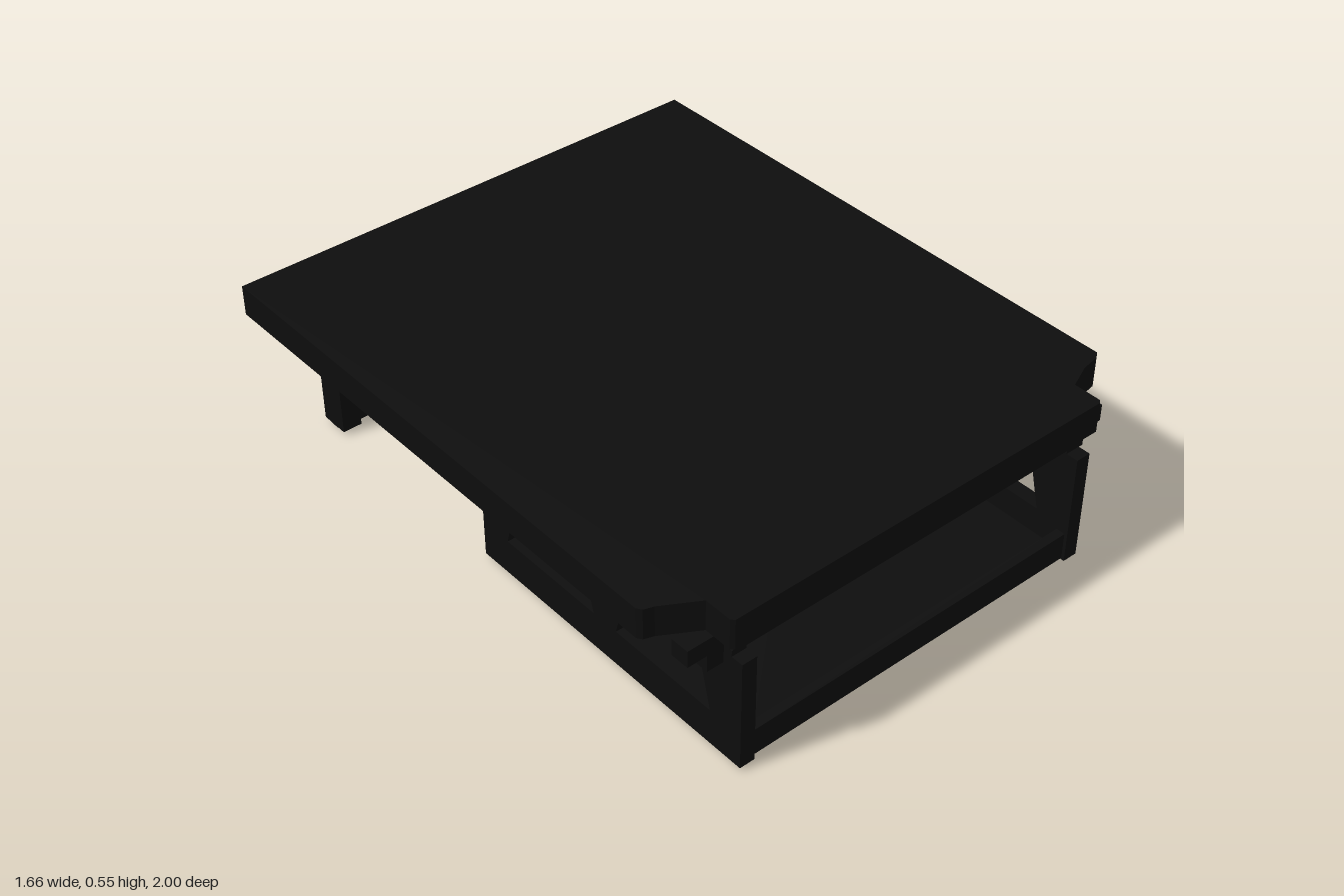
import * as THREE from 'three';

export function createModel() {
  const model = new THREE.Group();
  const black = new THREE.MeshStandardMaterial({ color: 0x0d0d0d });
  black.name = 'black';

  const add = (name, geometry) => {
    const mesh = new THREE.Mesh(geometry, black);
    mesh.name = name;
    model.add(mesh);
    return mesh;
  };
  // Box given by its limits on each axis
  const box = (name, x0, x1, y0, y1, z0, z1) =>
    add(name, new THREE.BoxGeometry(x1 - x0, y1 - y0, z1 - z0)
      .translate((x0 + x1) / 2, (y0 + y1) / 2, (z0 + z1) / 2));
  const vectors = (points) => points.map(([x, y]) => new THREE.Vector2(x, y));
  const plate = (outline, holes, depth) => {
    const shape = new THREE.Shape(vectors(outline));
    for (const hole of holes) shape.holes.push(new THREE.Path(vectors(hole)));
    return new THREE.ExtrudeGeometry(shape, { depth, bevelEnabled: false });
  };

  // Table top with cut front corners
  add('tableTop', plate([
    [-0.83, -1], [0.83, -1], [0.83, 0.84], [0.81, 0.855], [0.75, 0.865], [0.67, 0.9],
    [0.67, 0.99], [0.66, 1], [-0.67, 1], [-0.68, 0.99], [-0.68, 0.9], [-0.79, 0.835],
    [-0.82, 0.825], [-0.83, 0.81],
  ], [], 0.1).rotateX(Math.PI / 2).translate(0, 0.55, 0));

  // Side panels with two jagged windows and a notch between them
  const sideOutline = [
    [-0.1, 0.01], [1, 0.01], [1, 0.38], [0.96, 0.38], [0.96, 0.4], [0.46, 0.4],
    [0.475, 0.335], [0.45, 0.36], [0.42, 0.335], [0.435, 0.4], [-0.07, 0.4],
    [-0.07, 0.38], [-0.1, 0.38],
  ];
  const frontWindow = [[0.88, 0.13], [0.837, 0.3], [0.79, 0.285], [0.725, 0.365],
    [0.645, 0.3], [0.553, 0.337], [0.495, 0.13]];
  const rearWindow = [[0.4, 0.13], [0.34, 0.34], [0.265, 0.305], [0.174, 0.365],
    [0.08, 0.29], [0.06, 0.3], [0.013, 0.13]];
  for (const x of [0.645, -0.595]) {
    add('sidePanel', plate(sideOutline, [frontWindow, rearWindow], 0.05)
      .rotateY(-Math.PI / 2).translate(x, 0, 0));
  }

  // Tray floor and low walls
  box('trayFloor', -0.6, 0.6, 0.015, 0.04, -0.09, 0.99);
  box('trayFrontWall', -0.6, 0.6, 0.02, 0.105, 0.96, 0.99);
  box('trayBackWall', -0.6, 0.6, 0.02, 0.105, -0.09, -0.06);

  // Back leg panel with jagged arch and slots
  const slot = (a, b) => [[a, 0.375], [b, 0.375], [b - 0.02, 0.405], [a + 0.02, 0.405]];
  add('backLegPanel', plate([
    [-0.645, 0.01], [-0.625, 0], [-0.47, 0], [-0.45, 0.015], [-0.32, 0.25], [-0.26, 0.23],
    [-0.13, 0.265], [0.01, 0.245], [0.12, 0.275], [0.25, 0.215], [0.32, 0.24],
    [0.45, 0.015], [0.47, 0], [0.625, 0], [0.645, 0.01], [0.645, 0.45], [-0.645, 0.45],
  ], [slot(-0.48, -0.3), slot(-0.11, 0.1), slot(0.3, 0.48)], 0.03).translate(0, 0, -0.895));

  for (const s of [-1, 1]) {
    const mirrored = (name, x0, x1, ...rest) =>
      box(name, Math.min(s * x0, s * x1), Math.max(s * x0, s * x1), ...rest);

    mirrored('backPost', 0.58, 0.645, 0.012, 0.45, -0.93, -0.83);

    // Rails below the top, parted at the panel notch
    for (const [z0, z1] of [[-0.83, 0.42], [0.475, 0.96]]) {
      mirrored('sideRail', 0.57, 0.64, 0.39, 0.45, z0, z1);
    }
    // Stepped outer brackets
    for (const z of [0.9, 0.02, -0.8]) {
      mirrored('bracketFoot', 0.62, 0.7, 0.34, 0.45, z - 0.03, z + 0.03);
      mirrored('bracketArm', 0.62, 0.765, 0.395, 0.45, z - 0.03, z + 0.03);
    }
    for (const z of [0.65, 0.25]) {
      mirrored('bracketArm', 0.62, 0.765, 0.4, 0.45, z - 0.03, z + 0.03);
    }
    // Inner corner braces
    for (const z of [0.86, -0.05]) {
      const points = s > 0 ? [[0.6, 0.45], [0.45, 0.45], [0.53, 0.345], [0.6, 0.33]]
        : [[-0.6, 0.45], [-0.6, 0.33], [-0.53, 0.345], [-0.45, 0.45]];
      add('cornerBrace', plate(points, [], 0.03).translate(0, 0, z));
    }
  }

  // Cross slats under the top
  for (let i = 0; i < 10; i++) {
    const z = -0.7 + i * 0.18;
    if (Math.abs(z - 0.45) > 0.06) box('crossSlat', -0.58, 0.58, 0.42, 0.45, z - 0.02, z + 0.02);
  }
  box('frontRail', -0.58, 0.58, 0.39, 0.45, 0.93, 0.96);

  return model;
}
